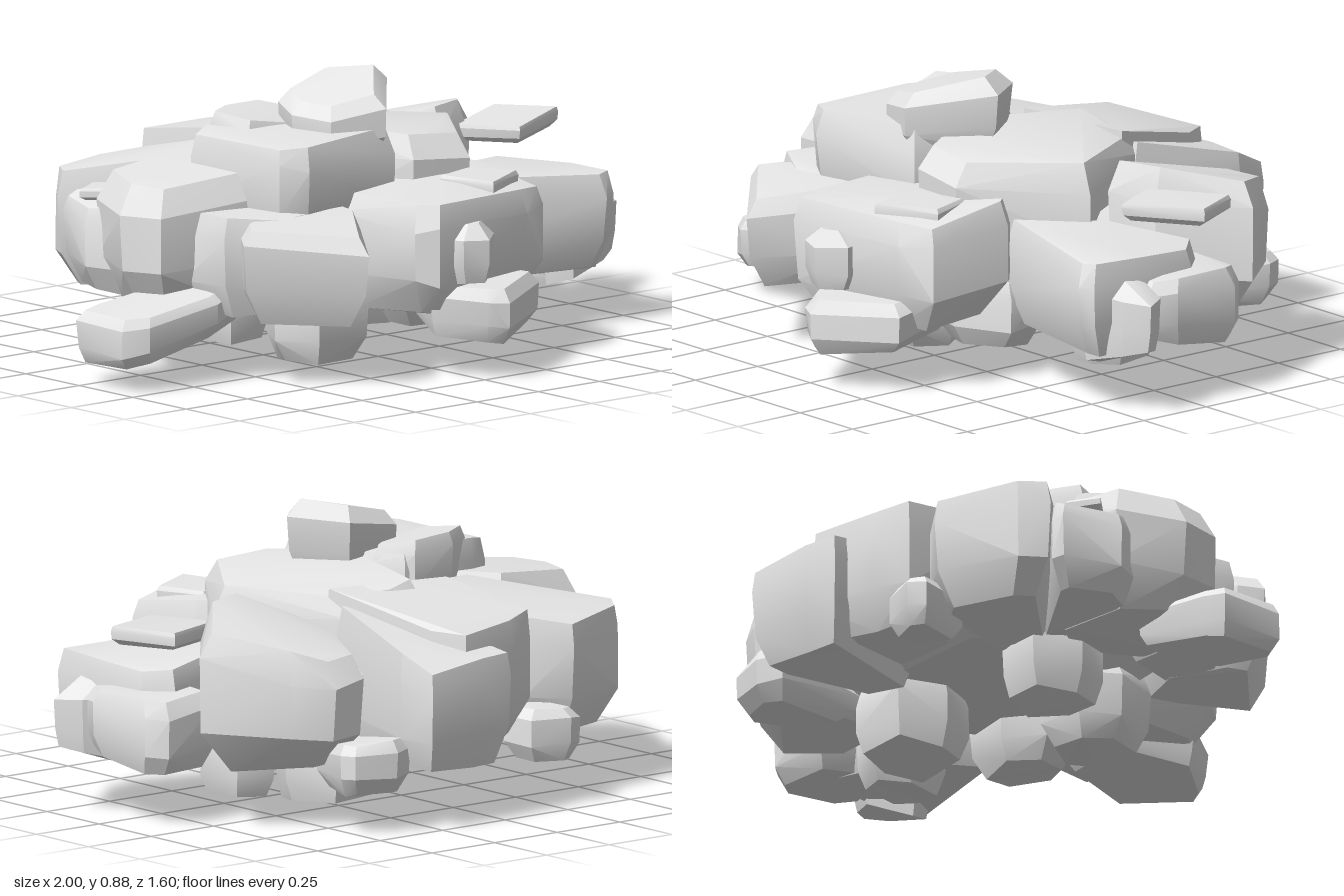
import * as THREE from 'three';
import { ConvexGeometry } from 'three/addons/geometries/ConvexGeometry.js';
import { toCreasedNormals } from 'three/addons/utils/BufferGeometryUtils.js';

const stone = new THREE.MeshStandardMaterial({ color: 0xe7e7e7 });
stone.name = 'pale grey stone';

// Small seeded generator for the chipped corners
let seed = 7;
function chip() {
  seed = (seed * 16807) % 2147483647;
  return seed / 2147483647;
}

// A faceted boulder: plan outline as [x, z] corners, low and high y at its middle,
// slopes of its top (sx, sz) and bottom (bx, bz), and how far top and bottom are drawn in.
function boulder(group, name, outline, low, high, { sx = 0, sz = 0, bx = 0, bz = 0, top = 0.9, base = 0.74 } = {}) {
  const n = outline.length;
  const cx = outline.reduce((s, p) => s + p[0], 0) / n;
  const cz = outline.reduce((s, p) => s + p[1], 0) / n;
  const rings = [[0.02, base, 0.08], [0.32, 1, 0.06], [0.78, 1, 0.02], [0.98, top, 0.05]];
  const points = [];
  for (const [t, scale, rough] of rings) {
    for (const [x, z] of outline) {
      const k = scale * (1 - rough * chip());
      const dx = (x - cx) * k, dz = (z - cz) * k;
      const floor = low + bx * dx + bz * dz;
      const roof = high + sx * dx + sz * dz;
      const lift = t + 0.08 * (chip() - 0.5);
      points.push(new THREE.Vector3(cx + dx, Math.max(0, floor + (roof - floor) * lift), cz + dz));
    }
  }
  const mesh = new THREE.Mesh(toCreasedNormals(new ConvexGeometry(points), 0.4), stone);
  mesh.name = name;
  group.add(mesh);
}

export function createModel() {
  const g = new THREE.Group();
  g.name = 'rubblePile';

  // Hidden heart that the outer stones lean on
  boulder(g, 'core', [[-0.5, -0.2], [-0.3, -0.5], [0.3, -0.5], [0.55, -0.1], [0.45, 0.2], [0.1, 0.42], [-0.4, 0.35]], 0.22, 0.52);

  // Crown of the pile
  boulder(g, 'topStone', [[-0.25, 0.13], [-0.19, 0], [0.03, -0.04], [0.15, 0.12], [-0.04, 0.34], [-0.21, 0.27]], 0.64, 0.84, { sx: 0.23, sz: -0.05, bx: 0.08, top: 0.78, base: 0.85 });
  boulder(g, 'ridgeStone', [[0.0, -0.36], [0.1, -0.38], [0.28, -0.34], [0.35, -0.2], [0.51, 0.05], [0.3, 0.26], [0.26, 0.39], [0.05, 0.36], [-0.1, 0.1]], 0.3, 0.69, { sx: -0.1, sz: 0.04, top: 0.9 });
  boulder(g, 'upperLeftStone', [[-0.5, -0.06], [-0.42, -0.1], [-0.1, -0.15], [0.03, 0.05], [0, 0.33], [-0.4, 0.39], [-0.48, 0.34]], 0.4, 0.73, { top: 0.94, base: 0.85 });
  boulder(g, 'crownStone', [[-0.4, -0.08], [-0.3, -0.14], [-0.13, -0.16], [-0.05, -0.05], [-0.2, 0.08], [-0.36, 0.06]], 0.55, 0.755, { sx: -0.08, sz: -0.15, top: 0.9 });

  // Right side
  boulder(g, 'rightBackStone', [[0.32, -0.34], [0.43, -0.59], [0.55, -0.6], [0.67, -0.53], [0.86, -0.31], [0.66, -0.08], [0.5, -0.02], [0.36, -0.18]], 0.18, 0.61, { sx: 0.06, sz: 0.24, top: 0.88, base: 0.62 });
  boulder(g, 'rightStone', [[0.33, 0.25], [0.5, -0.02], [0.8, -0.13], [0.87, -0.05], [0.89, 0.15], [0.88, 0.35], [0.83, 0.37]], 0.18, 0.49, { sx: -0.06, bx: 0.03, top: 0.93, base: 0.82 });
  boulder(g, 'rightEndStone', [[0.65, 0.15], [0.7, -0.2], [0.9, -0.22], [0.95, -0.16], [0.96, 0.08], [0.92, 0.17]], 0.18, 0.41, { sx: -0.05, bz: 0.18, top: 0.85, base: 0.85 });
  boulder(g, 'rightSpike', [[0.71, 0.2], [0.82, 0.08], [0.95, 0.14], [1.0, 0.22], [0.92, 0.27], [0.75, 0.3]], 0.16, 0.42, { sx: -0.2, bx: 0.3, top: 0.4, base: 0.9 });
  boulder(g, 'thinSlab', [[0.61, -0.09], [0.87, -0.21], [0.97, -0.02], [0.71, 0.1]], 0.55, 0.61, { sx: 0.05, bx: 0.05, top: 0.97, base: 0.85 });

  // Back
  boulder(g, 'backStone', [[-0.02, -0.76], [0.1, -0.78], [0.33, -0.8], [0.36, -0.68], [0.3, -0.3], [0.1, -0.28]], 0.18, 0.57, { sz: 0.26, top: 0.98, base: 0.8 });
  boulder(g, 'backMiddleStone', [[-0.21, -0.62], [-0.1, -0.67], [0.13, -0.72], [0.19, -0.62], [0.3, -0.25], [-0.18, -0.25]], 0.22, 0.63, { sz: 0.2, top: 0.98, base: 0.75 });
  boulder(g, 'backLeftStone', [[-0.69, -0.46], [-0.63, -0.54], [-0.36, -0.65], [-0.23, -0.56], [-0.14, -0.2], [-0.35, -0.12]], 0.2, 0.59, { sx: 0.08, sz: 0.15, top: 0.95 });
  boulder(g, 'backLeftLowStone', [[-0.36, -0.68], [-0.3, -0.71], [-0.17, -0.67], [-0.16, -0.55], [-0.3, -0.48]], 0.14, 0.31, { top: 0.7 });
  boulder(g, 'backRightLowStone', [[0.32, -0.68], [0.4, -0.72], [0.54, -0.68], [0.56, -0.63], [0.48, -0.42], [0.33, -0.36]], 0.12, 0.28, { sz: -0.15, top: 0.85 });

  // Left side
  boulder(g, 'leftBackStone', [[-0.77, -0.24], [-0.7, -0.42], [-0.66, -0.43], [-0.3, -0.2], [-0.4, -0.05], [-0.7, -0.08]], 0.22, 0.52, { sx: 0.12, top: 0.92 });
  boulder(g, 'leftStone', [[-0.82, -0.02], [-0.73, -0.23], [-0.4, -0.25], [-0.25, -0.08], [-0.44, 0.2], [-0.78, 0.13]], 0.22, 0.62, { sx: 0.1, top: 0.82 });
  boulder(g, 'leftLowSlab', [[-1, -0.02], [-0.92, -0.04], [-0.6, -0.03], [-0.5, 0.2], [-0.66, 0.26], [-0.93, 0.25], [-1, 0.2]], 0.11, 0.26, { sx: 0.14, bx: 0.25, top: 0.9, base: 0.9 });
  boulder(g, 'leftChip', [[-0.74, -0.3], [-0.64, -0.36], [-0.5, -0.25], [-0.62, -0.18]], 0.5, 0.54, { base: 0.85 });
  boulder(g, 'leftMiddleStone', [[-0.67, 0.3], [-0.66, 0.1], [-0.4, 0.05], [-0.3, 0.38], [-0.5, 0.4]], 0.21, 0.52);

  // Front
  boulder(g, 'frontStone', [[-0.22, 0.3], [-0.1, 0.22], [0.3, 0.18], [0.39, 0.28], [0.39, 0.58], [0.28, 0.63], [-0.14, 0.7], [-0.19, 0.64]], 0.19, 0.56, { sz: -0.05, top: 0.94, base: 0.78 });
  boulder(g, 'frontLeftStone', [[-0.69, 0.41], [-0.64, 0.34], [-0.4, 0.22], [-0.2, 0.28], [-0.22, 0.42], [-0.4, 0.67]], 0.2, 0.52, { sz: -0.12, top: 0.88 });
  boulder(g, 'frontLowStone', [[-0.11, 0.62], [0.0, 0.38], [0.25, 0.38], [0.31, 0.65], [0.06, 0.8], [0.0, 0.77]], 0.13, 0.29, { sz: -0.05, bz: -0.14, top: 0.85, base: 0.88 });
  boulder(g, 'frontChip', [[-0.08, 0.62], [0.08, 0.6], [0.1, 0.68], [0.02, 0.75], [-0.06, 0.72]], 0.29, 0.48, { top: 0.4 });
  boulder(g, 'frontThinSlab', [[0.1, 0.42], [0.28, 0.36], [0.34, 0.52], [0.15, 0.62]], 0.52, 0.58, { top: 0.95, base: 0.9 });

  // Stones underneath that carry the pile
  boulder(g, 'footStone', [[-0.33, 0.14], [-0.26, 0.02], [-0.1, 0.0], [-0.02, 0.14], [-0.07, 0.29], [-0.28, 0.3]], 0, 0.26, { base: 0.75 });
  boulder(g, 'footStone', [[0.1, -0.2], [0.16, -0.35], [0.35, -0.36], [0.42, -0.2], [0.36, -0.07], [0.15, -0.07]], 0.02, 0.26, { bz: -0.08, base: 0.9 });
  boulder(g, 'footStone', [[0.4, -0.08], [0.46, -0.2], [0.58, -0.16], [0.6, 0], [0.52, 0.08], [0.42, 0.07]], 0.04, 0.25, { base: 0.8 });
  boulder(g, 'footStone', [[0.06, 0.17], [0.18, 0.08], [0.36, 0.11], [0.38, 0.26], [0.2, 0.34], [0.07, 0.3]], 0.08, 0.3);
  boulder(g, 'footStone', [[-0.42, -0.1], [-0.36, -0.25], [-0.2, -0.24], [-0.14, -0.1], [-0.24, 0.02], [-0.39, 0.01]], 0.05, 0.3, { base: 0.85 });
  return g;
}
